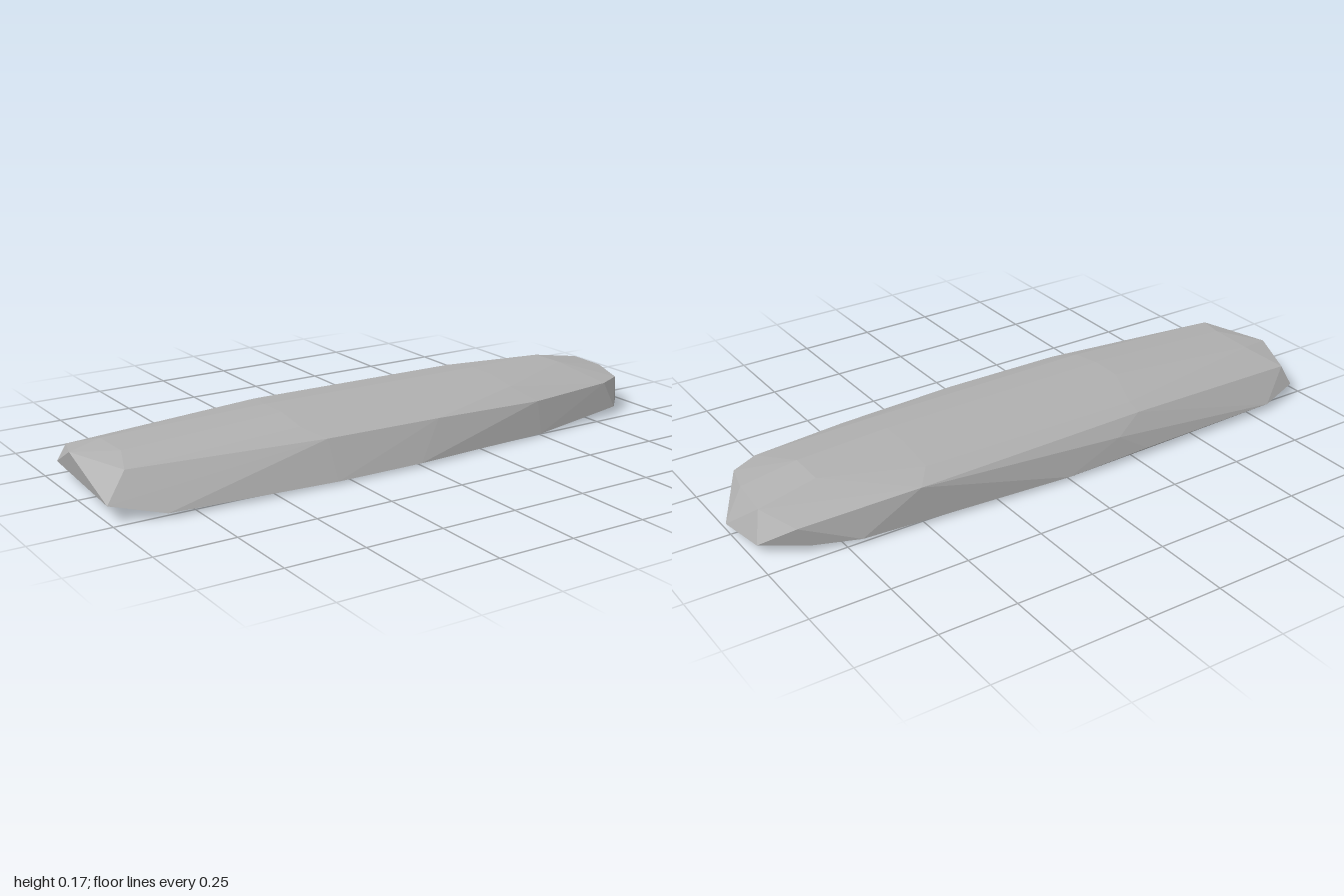
import * as THREE from 'three';
import { ConvexGeometry } from 'three/addons/geometries/ConvexGeometry.js';

export function createModel() {
  const group = new THREE.Group();
  group.name = 'stoneSlab';
  const stone = new THREE.MeshStandardMaterial({ color: 0xb0b0b0 });
  stone.name = 'grey stone';

  // wide lower rim, walked around the outline
  const rim = [
    [-1, 0.05, 0.215], [-0.84, 0.012, 0.265], [-0.3, 0.008, 0.295], [0, 0.008, 0.295],
    [0.5, 0.005, 0.26], [0.86, 0.025, 0.21], [0.93, 0.025, 0.14], [1, 0.02, 0.03],
    [0.98, 0.03, -0.14], [0.85, 0.02, -0.21], [0.7, 0.01, -0.25], [0, 0.01, -0.298],
    [-0.3, 0.02, -0.3], [-0.82, 0.02, -0.29], [-0.96, 0.04, -0.25],
  ];

  // flat underside, slightly inset
  const base = [
    [-0.8, 0.006, 0.2], [0.3, 0, 0.22], [0.55, 0, 0.15], [0.55, 0, -0.15], [0.2, 0, -0.23], [-0.75, 0.006, -0.2],
  ];

  // shoulder where the sides turn into the top
  const shoulder = [
    [-0.92, 0.125, 0.16], [-0.3, 0.125, 0.235], [0.1, 0.122, 0.242], [0.5, 0.11, 0.238], [0.82, 0.112, 0.2],
    [0.91, 0.11, 0.155], [0.94, 0.122, 0.04], [0.95, 0.12, -0.1], [0.88, 0.08, -0.2],
    [0.5, 0.115, -0.25], [-0.2, 0.08, -0.282], [-0.3, 0.125, -0.247],
    [-0.94, 0.1, -0.22], [-0.99, 0.125, -0.07],
  ];

  // gently domed top
  const crown = [
    [-0.88, 0.143, 0.05], [-0.88, 0.14, -0.1], [-0.35, 0.151, 0.16], [-0.35, 0.168, 0.05], [-0.35, 0.166, -0.06],
    [-0.3, 0.142, -0.2], [0.45, 0.148, 0.155], [0.45, 0.166, 0.04], [0.45, 0.166, -0.05],
    [0.45, 0.142, -0.19], [0.76, 0.157, 0.03], [0.76, 0.155, -0.09],
  ];

  const points = [...rim, ...base, ...shoulder, ...crown].map((p) => new THREE.Vector3(...p));
  const slab = new THREE.Mesh(new ConvexGeometry(points), stone);
  slab.name = 'slab';
  group.add(slab);
  return group;
}
